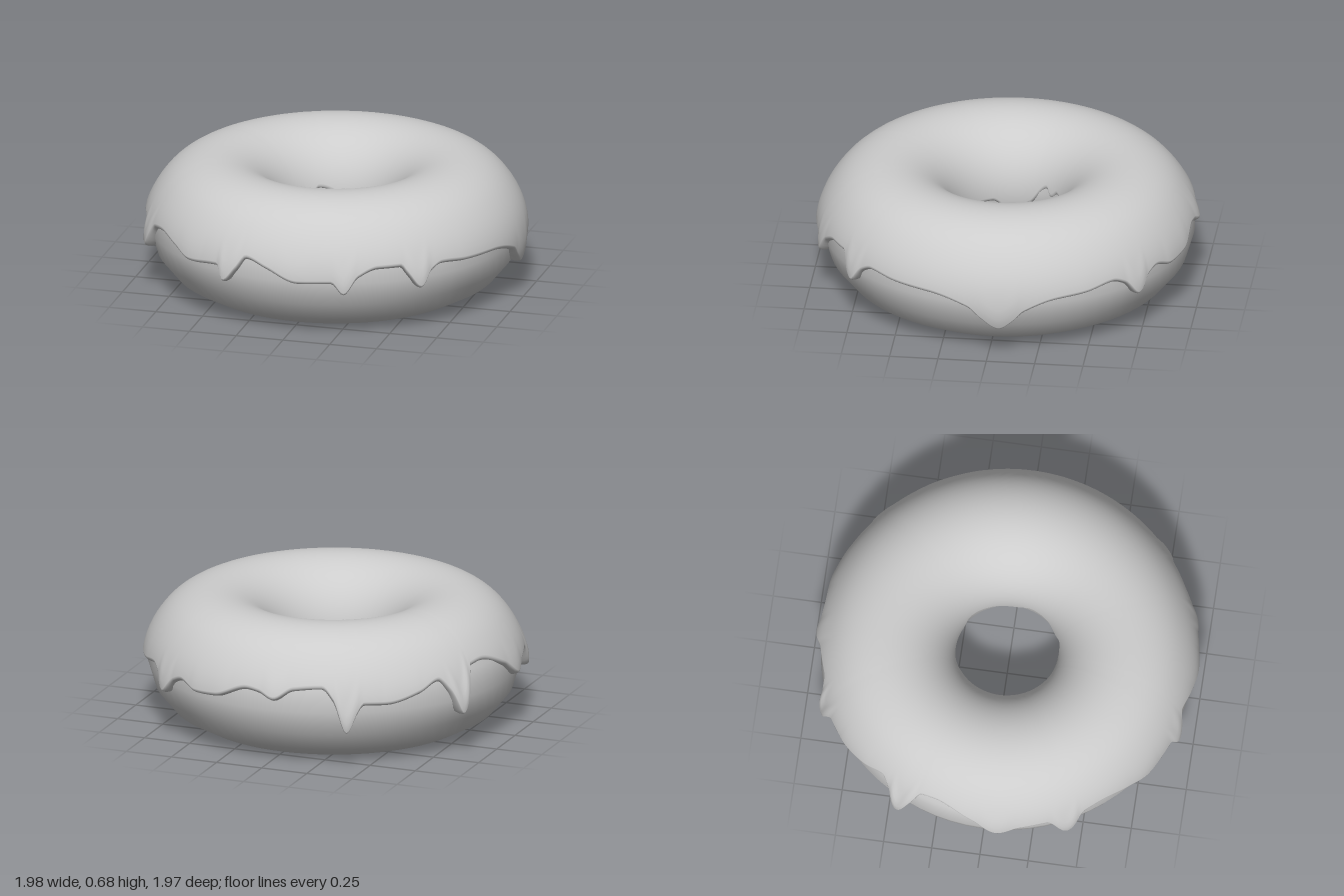
import * as THREE from 'three';

const RING = 0.615; // radius of the ring's centre line
const DEG = Math.PI / 180;

// Icing edge as [angle in degrees from +x toward +z, height], outside and inside the ring
const OUTER_EDGE = [
  [-165, .47], [-160, .46], [-157.5, .36], [-153.5, .225], [-149.5, .36], [-146, .425], [-139, .377], [-128, .336],
  [-121, .34], [-119, .3], [-115.5, .195], [-111.5, .365], [-108, .43], [-99, .415], [-93, .355], [-88, .39],
  [-84, .4], [-73, .33], [-65, .32], [-58, .355], [-54, .33], [-49, .25], [-44.5, .33], [-40, .36],
  [-31, .335], [-21, .32], [-11, .26], [-8, .21], [-3.5, .165], [2, .22], [6, .28], [18, .335],
  [31, .345], [40, .36], [44, .33], [48, .25], [52, .33], [54, .375], [61, .375], [67.5, .33],
  [72, .24], [75.7, .3], [86, .295], [96, .36], [103, .4], [106, .33], [110, .255], [113, .33],
  [124.5, .31], [132, .35], [141.5, .385], [147.5, .37], [154, .235], [160, .36], [168, .345], [175, .3], [183, .39],
];
const INNER_EDGE = [
  [-163, .29], [-142, .4], [-134, .365], [-124, .4], [-86, .3], [-69, .24], [-55, .32], [-25, .28],
  [0, .24], [20, .3], [45, .31], [58, .29], [77, .37], [98, .3], [113, .22], [128, .3], [155, .3], [175, .24],
];

// Smooth periodic curve through the points, without overshoot
function edgeCurve(points) {
  const n = points.length;
  const at = (i) => {
    const turn = Math.floor(i / n), p = points[i - turn * n];
    return [p[0] + 360 * turn, p[1]];
  };
  const slope = (i) => (at(i + 1)[1] - at(i)[1]) / (at(i + 1)[0] - at(i)[0]);
  const tangent = (i) => {
    const a = slope(i - 1), b = slope(i);
    return a * b <= 0 ? 0 : (2 * a * b) / (a + b);
  };
  return (angle) => {
    const start = points[0][0];
    const d = start + ((((angle - start) % 360) + 360) % 360);
    let i = 0;
    while (at(i + 1)[0] <= d) i++;
    const [x0, y0] = at(i), [x1, y1] = at(i + 1);
    const w = x1 - x0, t = (d - x0) / w, t2 = t * t, t3 = t2 * t;
    return y0 * (2 * t3 - 3 * t2 + 1) + y1 * (3 * t2 - 2 * t3)
      + w * (tangent(i) * (t3 - 2 * t2 + t) + tangent(i + 1) * (t3 - t2));
  };
}

// Coarse-sided ring of dough, flat where it rests
function doughGeometry() {
  const profile = [];
  for (let i = 0; i <= 16; i++) {
    const a = (84.5 + 22.5 * i) * DEG;
    profile.push(new THREE.Vector2(RING + 0.345 * Math.cos(a), Math.max(0, 0.335 + 0.345 * Math.sin(a))));
  }
  return new THREE.LatheGeometry(profile, 72);
}

// Icing shell: cross-sections swept round the ring, ending at the dripping edges
function icingGeometry() {
  const SEGMENTS = 480, CENTRE_Y = 0.33, BASE = 0.325, LIP = 0.075;
  const outer = edgeCurve(OUTER_EDGE), inner = edgeCurve(INNER_EDGE);
  const lipSteps = [0, 0.03, 0.1, 0.22, 0.4, 0.65, 1];
  const positions = [], indices = [];
  const drip = (edge, d) => Math.max(0, (edge(d - 7) + edge(d + 7)) / 2 - edge(d));
  let rows = 0;

  for (let j = 0; j < SEGMENTS; j++) {
    const deg = (j * 360) / SEGMENTS, theta = deg * DEG;
    const from = Math.asin((outer(deg) - CENTRE_Y) / 0.37);
    const to = Math.PI - Math.asin((inner(deg) - CENTRE_Y) / 0.355);
    const phis = lipSteps.map((s) => from + s * LIP);
    for (let k = 1; k < 28; k++) phis.push(THREE.MathUtils.lerp(from + LIP, to - LIP, k / 28));
    for (const s of [...lipSteps].reverse()) phis.push(to - s * LIP);
    rows = phis.length;

    for (const phi of phis) {
      // Icing sags thicker low on the outside, and swells at each drip
      const low = 1 - THREE.MathUtils.smoothstep(phi, -0.45, 0.7);
      const swell = 0.12 * drip(outer, deg) * (1 - THREE.MathUtils.smoothstep(phi - from, 0.1, 0.5));
      const top = 0.352 + 0.03 * low + swell;
      const s = Math.min(1, Math.min(phi - from, to - phi) / LIP);
      const r = BASE + (top - BASE) * Math.sqrt(Math.max(0, 1 - (1 - s) ** 2));
      const ring = RING + r * Math.cos(phi);
      positions.push(ring * Math.cos(theta), CENTRE_Y + r * Math.sin(phi), ring * Math.sin(theta));
    }
  }
  for (let j = 0; j < SEGMENTS; j++) {
    for (let i = 0; i < rows - 1; i++) {
      const a = j * rows + i, b = ((j + 1) % SEGMENTS) * rows + i;
      indices.push(a, a + 1, b, a + 1, b + 1, b);
    }
  }
  const geometry = new THREE.BufferGeometry();
  geometry.setAttribute('position', new THREE.Float32BufferAttribute(positions, 3));
  geometry.setIndex(indices);
  geometry.computeVertexNormals();
  return geometry;
}

export function createModel() {
  const grey = new THREE.MeshStandardMaterial({ color: 0xcccccc });
  grey.name = 'light grey';

  const model = new THREE.Group();
  model.name = 'donut';
  const dough = new THREE.Mesh(doughGeometry(), grey);
  dough.name = 'dough';
  const icing = new THREE.Mesh(icingGeometry(), grey);
  icing.name = 'icing';
  model.add(dough, icing);
  return model;
}
